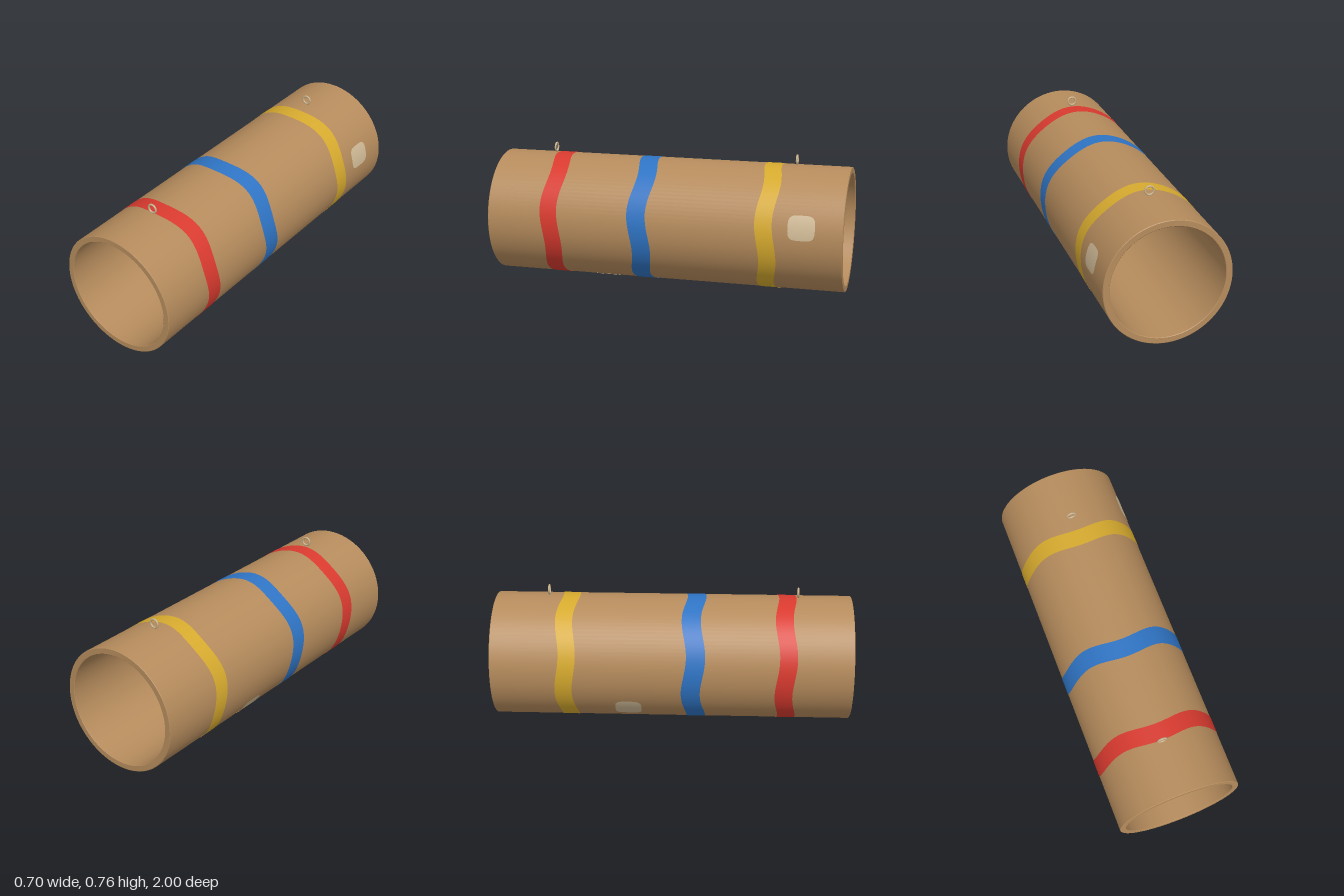
import * as THREE from 'three';
import { toCreasedNormals } from 'three/addons/utils/BufferGeometryUtils.js';

const R = 0.3475;   // outer radius
const INNER = 0.312; // bore radius
const CY = 0.35;    // axis height
const BEVEL = 0.003;

const mat = (name, color, side = THREE.FrontSide) => {
  const m = new THREE.MeshStandardMaterial({ color, side });
  m.name = name;
  return m;
};

// Thin skin on the tube. place(u, v) returns [angle from the top toward +x, z].
function skin(place, uSegs, vSegs, r) {
  const pos = [], nor = [], idx = [];
  for (let i = 0; i <= uSegs; i++) {
    for (let j = 0; j <= vSegs; j++) {
      const [a, z] = place(i / uSegs, j / vSegs);
      const s = Math.sin(a), c = Math.cos(a);
      pos.push(r * s, CY + r * c, z);
      nor.push(s, c, 0);
    }
  }
  const w = vSegs + 1;
  for (let i = 0; i < uSegs; i++) {
    for (let j = 0; j < vSegs; j++) {
      const a = i * w + j, b = a + w;
      idx.push(a, a + 1, b, b, a + 1, b + 1);
    }
  }
  const g = new THREE.BufferGeometry();
  g.setAttribute('position', new THREE.Float32BufferAttribute(pos, 3));
  g.setAttribute('normal', new THREE.Float32BufferAttribute(nor, 3));
  g.setIndex(idx);
  return g;
}

export function createModel() {
  const group = new THREE.Group();
  const card = mat('cardboard', 0xb58b5c);
  const red = mat('red paint', 0xd93a2f, THREE.DoubleSide);
  const blue = mat('blue paint', 0x2f74c4, THREE.DoubleSide);
  const yellow = mat('yellow paint', 0xd6aa2e, THREE.DoubleSide);
  const worn = mat('pale worn paper', 0xd0ba96, THREE.DoubleSide);
  const metal = mat('ring metal', 0xc8b08a);

  const add = (name, geometry, material) => {
    const mesh = new THREE.Mesh(geometry, material);
    mesh.name = name;
    group.add(mesh);
    return mesh;
  };

  // Hollow tube with slightly bevelled rims
  const profile = [
    [INNER, -1 + BEVEL], [INNER + BEVEL, -1], [R - BEVEL, -1], [R, -1 + BEVEL],
    [R, 1 - BEVEL], [R - BEVEL, 1], [INNER + BEVEL, 1], [INNER, 1 - BEVEL],
    [INNER, -1 + BEVEL],
  ].map(([x, y]) => new THREE.Vector2(x, y));
  const tube = toCreasedNormals(new THREE.LatheGeometry(profile, 96), 0.5);
  tube.rotateX(Math.PI / 2).translate(0, CY, 0);
  add('tube', tube, card);

  // Wavy painted bands
  const bands = [
    ['redBand', 0.631, 0.097, 0.012, red],
    ['blueBand', 0.121, 0.105, 0.014, blue],
    ['yellowBand', -0.584, 0.095, 0.012, yellow],
  ];
  for (const [name, z, width, wave, material] of bands) {
    const place = (u, v) => {
      const a = u * Math.PI * 2;
      return [a, z + wave * Math.cos(5 * a) + (v - 0.5) * width];
    };
    add(name, skin(place, 160, 1, R + 0.0015), material);
  }

  // Worn patches with rounded-square outlines
  const patches = [[76, -0.778], [168, 0.37], [-130, -0.24]];
  patches.forEach(([deg, z], i) => {
    const place = (u, v) => {
      const t = u * Math.PI * 2, c = Math.cos(t), s = Math.sin(t);
      const k = v / Math.pow(c ** 4 + s ** 4, 0.25);
      return [THREE.MathUtils.degToRad(deg) + (k * s * 0.068) / R, z + k * c * 0.073];
    };
    add('wornPatch' + (i + 1), skin(place, 40, 4, R + 0.0018), worn);
  });

  // Hanging rings on top
  for (const [name, z] of [['frontRing', 0.7], ['backRing', -0.7]]) {
    add(name, new THREE.TorusGeometry(0.0235, 0.0055, 12, 32), metal).position.set(0, 0.731, z);
  }
  return group;
}
